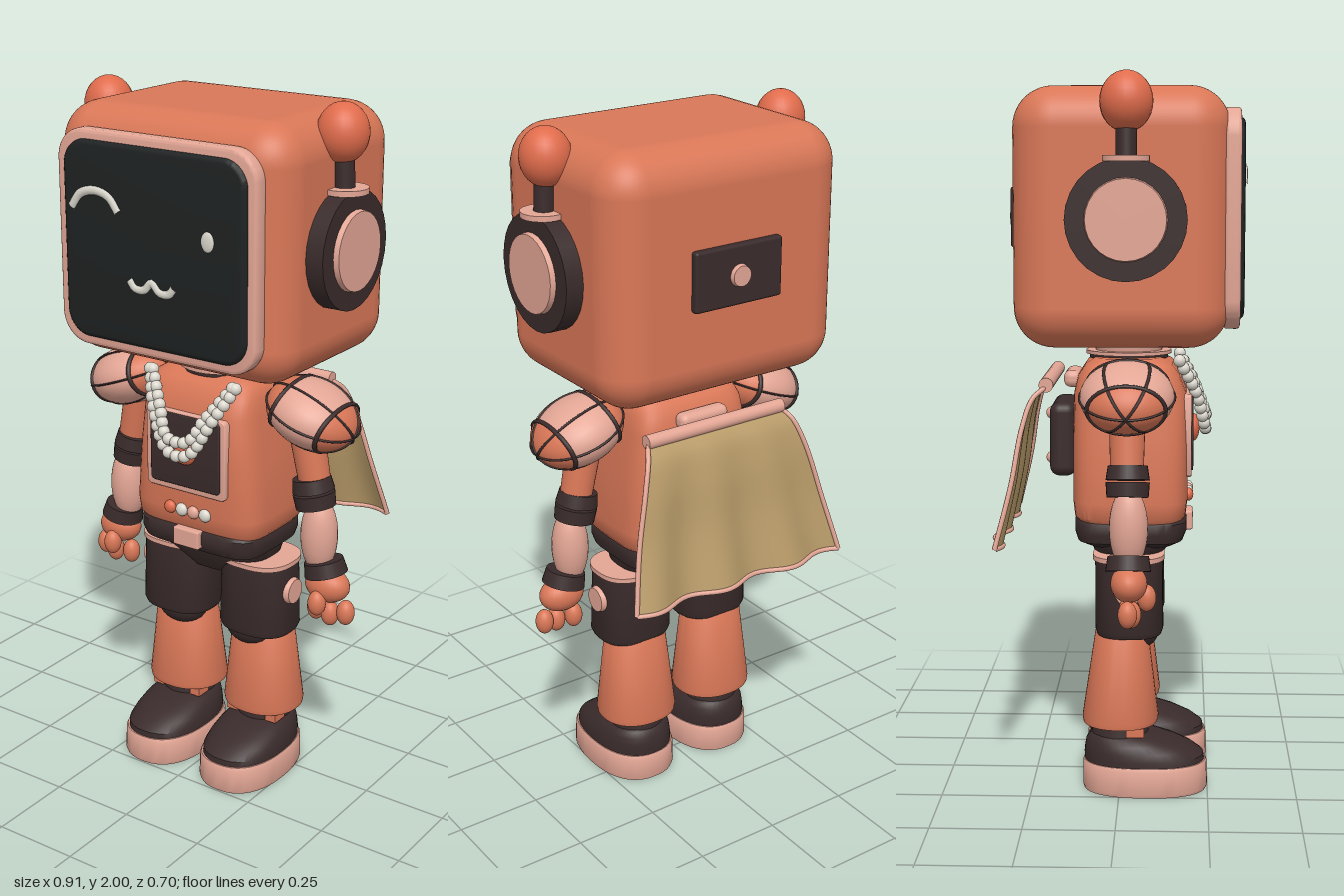
import * as THREE from 'three';
import { toCreasedNormals } from 'three/addons/utils/BufferGeometryUtils.js';
import { RoundedBoxGeometry } from 'three/addons/geometries/RoundedBoxGeometry.js';

const paint = (name, color, side = THREE.FrontSide) =>
  Object.assign(new THREE.MeshStandardMaterial({ color, side }), { name });
const V = (x, y, z) => new THREE.Vector3(x, y, z);

// Stack of superellipse sections; each row is [y, halfWidth, zFront, zBack]
function loft(rows, n, seg = 40) {
  const pos = [], idx = [];
  const pw = c => Math.sign(c) * Math.abs(c) ** (2 / n);
  for (const [y, w, zf, zb] of rows)
    for (let j = 0; j < seg; j++) {
      const t = j / seg * Math.PI * 2;
      pos.push(w * pw(Math.cos(t)), y, (zf + zb) / 2 + (zf - zb) / 2 * pw(Math.sin(t)));
    }
  const last = (rows.length - 1) * seg, cap = rows.length * seg;
  for (const r of [rows[0], rows[rows.length - 1]]) pos.push(0, r[0], (r[2] + r[3]) / 2);
  for (let j = 0; j < seg; j++) {
    const k = (j + 1) % seg;
    for (let i = 0; i < last; i += seg) idx.push(i + j, i + seg + j, i + k, i + seg + j, i + seg + k, i + k);
    idx.push(cap, j, k, cap + 1, last + k, last + j);
  }
  const g = new THREE.BufferGeometry();
  g.setAttribute('position', new THREE.Float32BufferAttribute(pos, 3));
  g.setIndex(idx);
  return toCreasedNormals(g, 0.7);
}

// Rounded rectangular panel, front face at z = depth
function panel(w, h, r, depth, bevel) {
  const s = new THREE.Shape(), a = w / 2 - bevel, b = h / 2 - bevel, P = Math.PI;
  s.absarc(a - r, b - r, r, 0, P / 2);
  s.absarc(r - a, b - r, r, P / 2, P);
  s.absarc(r - a, r - b, r, P, P * 1.5);
  s.absarc(a - r, r - b, r, P * 1.5, P * 2);
  const g = new THREE.ExtrudeGeometry(s, { depth: depth - 2 * bevel, bevelSize: bevel, bevelThickness: bevel, bevelSegments: 3, curveSegments: 8 });
  return toCreasedNormals(g.translate(0, 0, bevel), 0.6);
}

export function createModel() {
  const orange = paint('orange shell', 0xd97757), pink = paint('pale pink', 0xe3a695);
  const dark = paint('dark brown', 0x3a2b2b), black = paint('screen black', 0x1f2222);
  const red = paint('bright orange', 0xe06c4c), pearl = paint('pearl', 0xdcd8ce);
  const cloth = paint('tan cloth', 0xb79a68, THREE.DoubleSide);
  const root = new THREE.Group();
  root.name = 'robot';
  const group = (name, parent = root) => {
    const g = new THREE.Group();
    g.name = name;
    parent.add(g);
    return g;
  };
  const add = (parent, name, geo, mat, x = 0, y = 0, z = 0) => {
    const m = new THREE.Mesh(geo, mat);
    m.name = name;
    m.position.set(x, y, z);
    parent.add(m);
    return m;
  };
  const ball = (parent, name, mat, x, y, z, rx, ry = rx, rz = rx) => {
    const m = add(parent, name, new THREE.SphereGeometry(1, 24, 16), mat, x, y, z);
    m.scale.set(rx, ry, rz);
    return m;
  };
  const limb = (parent, name, mat, a, b, ra, rb = ra) => {
    const d = b.clone().sub(a), c = a.clone().add(b).multiplyScalar(0.5);
    const m = add(parent, name, new THREE.CylinderGeometry(rb, ra, d.length(), 28), mat, c.x, c.y, c.z);
    m.quaternion.setFromUnitVectors(V(0, 1, 0), d.normalize());
    return m;
  };
  const tube = (parent, name, mat, pts, r, seg = 32) =>
    add(parent, name, new THREE.TubeGeometry(new THREE.CatmullRomCurve3(pts), seg, r, 8), mat);

  // Head, screen and face
  const head = group('head');
  add(head, 'headShell', new RoundedBoxGeometry(0.75, 0.695, 0.58, 6, 0.11), orange, 0, 1.62, 0.008);
  add(head, 'screenFrame', panel(0.64, 0.59, 0.075, 0.045, 0.01), pink, 0, 1.617, 0.282);
  add(head, 'screen', panel(0.59, 0.54, 0.06, 0.04, 0.014), black, 0, 1.617, 0.298);
  const face = group('face', head);
  face.position.z = 0.338;
  face.scale.z = 0.6;
  tube(face, 'winkingEye', pearl, [V(-0.265, 1.705, 0), V(-0.235, 1.742, 0), V(-0.187, 1.755, 0), V(-0.14, 1.742, 0), V(-0.11, 1.705, 0)], 0.012);
  ball(face, 'openEye', pearl, 0.178, 1.668, 0, 0.02, 0.027, 0.01);
  tube(face, 'mouth', pearl, [V(-0.075, 1.53, 0), V(-0.058, 1.51, 0), V(-0.028, 1.51, 0), V(-0.003, 1.532, 0),
    V(0.022, 1.51, 0), V(0.052, 1.51, 0), V(0.07, 1.53, 0)], 0.011);
  add(head, 'backPlate', new RoundedBoxGeometry(0.28, 0.165, 0.04, 2, 0.008), dark, 0, 1.62, -0.282);
  limb(head, 'backKnob', pink, V(0, 1.62, -0.29), V(0, 1.62, -0.314), 0.034, 0.028);

  // Ears and antennae
  for (const s of [1, -1]) {
    const ear = group(s > 0 ? 'leftEar' : 'rightEar', head);
    limb(ear, 'earPad', dark, V(s * 0.36, 1.617, 0.025), V(s * 0.426, 1.617, 0.025), 0.16);
    limb(ear, 'earDisc', pink, V(s * 0.42, 1.617, 0.025), V(s * 0.441, 1.617, 0.025), 0.11, 0.106);
    limb(ear, 'antennaBase', pink, V(s * 0.392, 1.767, 0.025), V(s * 0.392, 1.782, 0.025), 0.062);
    limb(ear, 'antennaStem', dark, V(s * 0.39, 1.78, 0.025), V(s * 0.385, 1.86, 0.025), 0.028);
    ball(ear, 'antennaBall', red, s * 0.381, 1.921, 0.025, 0.07, 0.079, 0.07);
  }

  // Neck and torso
  const body = group('body');
  limb(body, 'neck', pink, V(0, 1.19, 0.02), V(0, 1.3, 0.02), 0.085, 0.105);
  limb(body, 'neckSeal', dark, V(0, 1.222, 0.02), V(0, 1.234, 0.02), 0.112);
  limb(body, 'neckRing', pink, V(0, 1.234, 0.02), V(0, 1.244, 0.02), 0.122);
  add(body, 'torso', loft([[0.765, 0.195, 0.17, -0.11], [0.785, 0.21, 0.185, -0.13], [0.83, 0.215, 0.19, -0.135], [1.0, 0.2, 0.19, -0.135],
    [1.13, 0.185, 0.185, -0.132], [1.18, 0.178, 0.165, -0.12], [1.21, 0.165, 0.145, -0.1], [1.228, 0.135, 0.11, -0.07]], 5), orange);
  add(body, 'chestFrame', panel(0.27, 0.235, 0.012, 0.03, 0.004), pink, 0, 1.012, 0.17);
  add(body, 'chestPlate', panel(0.236, 0.212, 0.01, 0.03, 0.003), dark, 0, 1.018, 0.175);
  ball(body, 'chestLight', red, 0, 1.02, 0.205, 0.04, 0.04, 0.018);
  [red, pearl, pink, pearl].forEach((m, i) => ball(body, 'button', m, -0.06 + i * 0.04, 0.835, 0.192, 0.019, 0.019, 0.014));
  add(body, 'belt', loft([[0.7, 0.17, 0.15, -0.09], [0.715, 0.195, 0.178, -0.122], [0.74, 0.202, 0.188, -0.13], [0.77, 0.202, 0.188, -0.13],
    [0.787, 0.19, 0.175, -0.12]], 5), dark);
  add(body, 'beltBuckle', new RoundedBoxGeometry(0.088, 0.055, 0.03, 2, 0.006), pink, 0, 0.755, 0.19);
  add(body, 'pelvis', loft([[0.62, 0.09, 0.09, -0.05], [0.68, 0.18, 0.13, -0.08], [0.715, 0.19, 0.14, -0.09]], 3), dark);

  // Bead necklace in two strands
  const necklace = group('necklace');
  const beadGeo = new THREE.SphereGeometry(0.0175, 14, 10);
  for (const [w, mid, low, n] of [[0.145, 0.1, 1.005, 20], [0.135, 0.075, 1.045, 18]]) {
    const path = new THREE.CatmullRomCurve3([V(-w, 1.225, 0.165), V(-mid, 1.13, 0.212), V(-0.035, low + 0.02, 0.238),
      V(0.035, low + 0.02, 0.238), V(mid, 1.13, 0.212), V(w, 1.22, 0.165)]);
    for (const p of path.getSpacedPoints(n)) add(necklace, 'bead', beadGeo, pearl, p.x, p.y, p.z);
  }

  // Backpack
  const pack = group('backpack');
  add(pack, 'packBody', new RoundedBoxGeometry(0.24, 0.21, 0.075, 4, 0.028), dark, 0, 0.997, -0.163);
  for (const y of [0.93, 1.06]) ball(pack, 'packStud', pink, 0, y, -0.2, 0.018);
  add(pack, 'packHandle', new RoundedBoxGeometry(0.16, 0.048, 0.05, 3, 0.02), pink, 0, 1.165, -0.137);

  // Cape: widening cloth with growing waves, trimmed in pink
  const cape = group('cape');
  const drop = new THREE.CatmullRomCurve3([V(0, 1.16, -0.2), V(0, 1.13, -0.235), V(0, 1.05, -0.263), V(0, 0.9, -0.29), V(0, 0.73, -0.332)]);
  const capePoint = (u, t) => {
    const p = drop.getPointAt(t), x = u * 0.35;
    return V(u * (0.22 + 0.132 * t ** 0.7), p.y, p.z - 0.017 * t * Math.cos((x - 0.057) / 0.232 * Math.PI * 2));
  };
  const sheet = new THREE.PlaneGeometry(2, 1, 48, 20), sp = sheet.attributes.position;
  for (let i = 0; i < sp.count; i++) {
    const p = capePoint(sp.getX(i), THREE.MathUtils.clamp(0.5 - sp.getY(i), 0, 1));
    sp.setXYZ(i, p.x, p.y, p.z);
  }
  sheet.computeVertexNormals();
  add(cape, 'capeCloth', sheet, cloth);
  const steps = Array.from({ length: 25 }, (_, i) => i / 24);
  for (const s of [-1, 1]) tube(cape, 'sideTrim', pink, steps.map(t => capePoint(s, t)), 0.007, 40);
  tube(cape, 'hemTrim', pink, steps.map(t => capePoint(t * 2 - 1, 1)), 0.007, 64);
  limb(cape, 'capeBar', pink, V(-0.23, 1.165, -0.2), V(0.23, 1.165, -0.2), 0.02);

  for (const s of [1, -1]) {
    const side = s > 0 ? 'left' : 'right';
    const at = (x, y, z) => V(s * x, y, z);

    // Shoulder guard: banded ellipsoid leaning outward
    const arm = group(side + 'Arm');
    const guard = group('shoulderGuard', arm);
    guard.position.set(s * 0.308, 1.143, 0.025);
    guard.rotation.z = -s * 1.92;
    guard.scale.set(0.088, 0.136, 0.128);
    const cuts = [0, 0.95, 2.1, Math.PI];
    [orange, pink, orange].forEach((m, i) =>
      add(guard, 'guardSection', new THREE.SphereGeometry(1, 32, 10, 0, Math.PI * 2, cuts[i], cuts[i + 1] - cuts[i]), m));
    for (const a of [0.95, 2.1])
      add(guard, 'guardBand', new THREE.TorusGeometry(Math.sin(a), 0.05, 8, 40), dark, 0, Math.cos(a), 0).rotation.x = Math.PI / 2;
    for (const a of [Math.PI / 2, 0.5, -0.5])
      add(guard, 'guardRib', new THREE.TorusGeometry(1, 0.035, 8, 40), dark).rotation.y = a;

    // Arm and hand
    limb(arm, 'upperArm', orange, at(0.32, 0.93, 0.025), at(0.285, 1.1, 0.025), 0.045, 0.05);
    limb(arm, 'elbowCuff', dark, at(0.324, 0.872, 0.027), at(0.316, 0.912, 0.027), 0.057, 0.06);
    limb(arm, 'elbowCuff', dark, at(0.315, 0.918, 0.027), at(0.307, 0.956, 0.027), 0.06, 0.054);
    ball(arm, 'forearm', pink, s * 0.338, 0.79, 0.03, 0.053, 0.115, 0.053);
    limb(arm, 'wristCuff', dark, at(0.364, 0.677, 0.03), at(0.354, 0.717, 0.03), 0.062, 0.056);
    ball(arm, 'palm', orange, s * 0.37, 0.645, 0.032, 0.068, 0.05, 0.05);
    for (const [x, y, z] of [[0.43, 0.573, 0.03], [0.385, 0.563, 0.04], [0.333, 0.565, 0.03], [0.365, 0.605, 0.08]])
      ball(arm, 'finger', orange, s * x, y, z, 0.026, 0.037, 0.026);

    // Leg
    const leg = group(side + 'Leg');
    leg.position.x = s * 0.138;
    add(leg, 'thigh', loft([[0.455, 0.108, 0.118, -0.065], [0.47, 0.115, 0.123, -0.07], [0.67, 0.108, 0.12, -0.07]], 2.6), dark);
    add(leg, 'thighRing', loft([[0.668, 0.113, 0.126, -0.076], [0.682, 0.113, 0.126, -0.076]], 2.6), pink);
    limb(leg, 'hipKnob', pink, V(s * 0.09, 0.59, 0.027), V(s * 0.122, 0.59, 0.027), 0.045, 0.036);
    ball(leg, 'kneePad', dark, -s * 0.015, 0.46, 0.05, 0.08, 0.06, 0.062);
    add(leg, 'shin', loft([[0.195, 0.116, 0.107, -0.105], [0.21, 0.118, 0.11, -0.107], [0.455, 0.094, 0.08, -0.07], [0.47, 0.085, 0.07, -0.06]], 2.2), orange);
    limb(leg, 'ankle', dark, V(0, 0.14, 0), V(0, 0.2, 0), 0.085, 0.075);
    for (const k of [-1, 1]) add(leg, 'ankleTab', new THREE.BoxGeometry(0.035, 0.03, 0.05), orange, k * 0.068, 0.18, 0.045);

    // Shoe
    add(leg, 'shoeUpper', loft([[0.075, 0.115, 0.242, -0.1], [0.1, 0.115, 0.238, -0.102], [0.12, 0.11, 0.21, -0.1],
      [0.14, 0.102, 0.165, -0.096], [0.157, 0.088, 0.11, -0.086], [0.17, 0.06, 0.05, -0.065]], 2.3), dark);
    add(leg, 'shoeSole', loft([[0, 0.119, 0.246, -0.103], [0.01, 0.123, 0.25, -0.106], [0.075, 0.121, 0.248, -0.106], [0.084, 0.117, 0.244, -0.102]], 2.4), pink);
  }
  return root;
}
